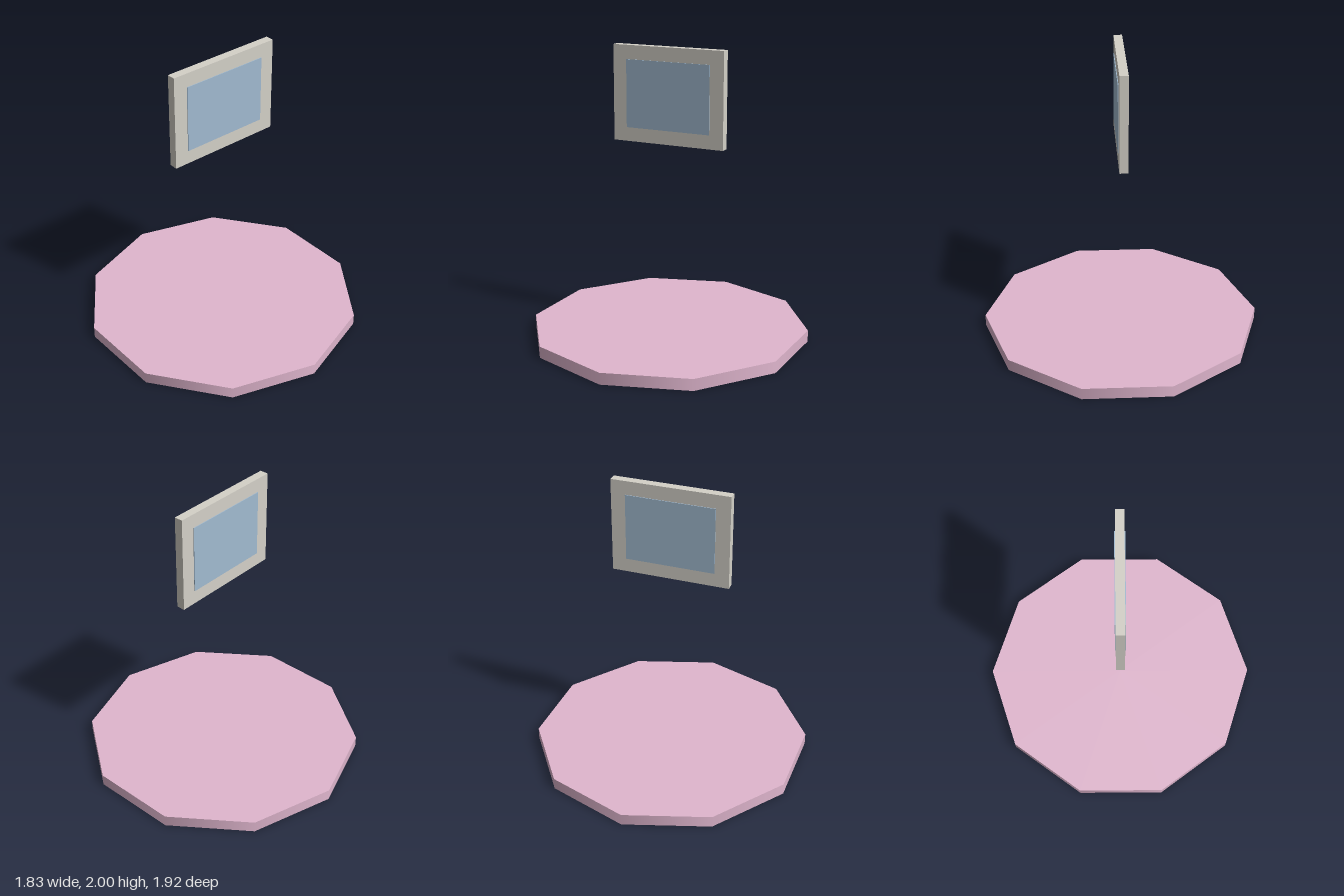
import * as THREE from 'three';

export function createModel() {
  const model = new THREE.Group();

  const add = (name, geometry, color, y) => {
    const mesh = new THREE.Mesh(geometry, new THREE.MeshStandardMaterial({ color }));
    mesh.name = name;
    mesh.position.y = y;
    model.add(mesh);
    return mesh;
  };

  // Ten-sided base disc with smooth side shading, corners on the z axis
  add('base', new THREE.CylinderGeometry(0.96, 0.96, 0.08, 10), 0xe0b6ce, 0.04);

  // Floating sign board
  add('signFrame', new THREE.BoxGeometry(0.81, 0.65, 0.058), 0xd4d1c8, 1.675);

  // Thin raised panel on the front and back of the board
  for (const [name, side] of [['frontPanel', 1], ['backPanel', -1]]) {
    add(name, new THREE.BoxGeometry(0.612, 0.46, 0.01), 0xa2bbd1, 1.675).position.z = side * 0.029;
  }

  return model;
}
